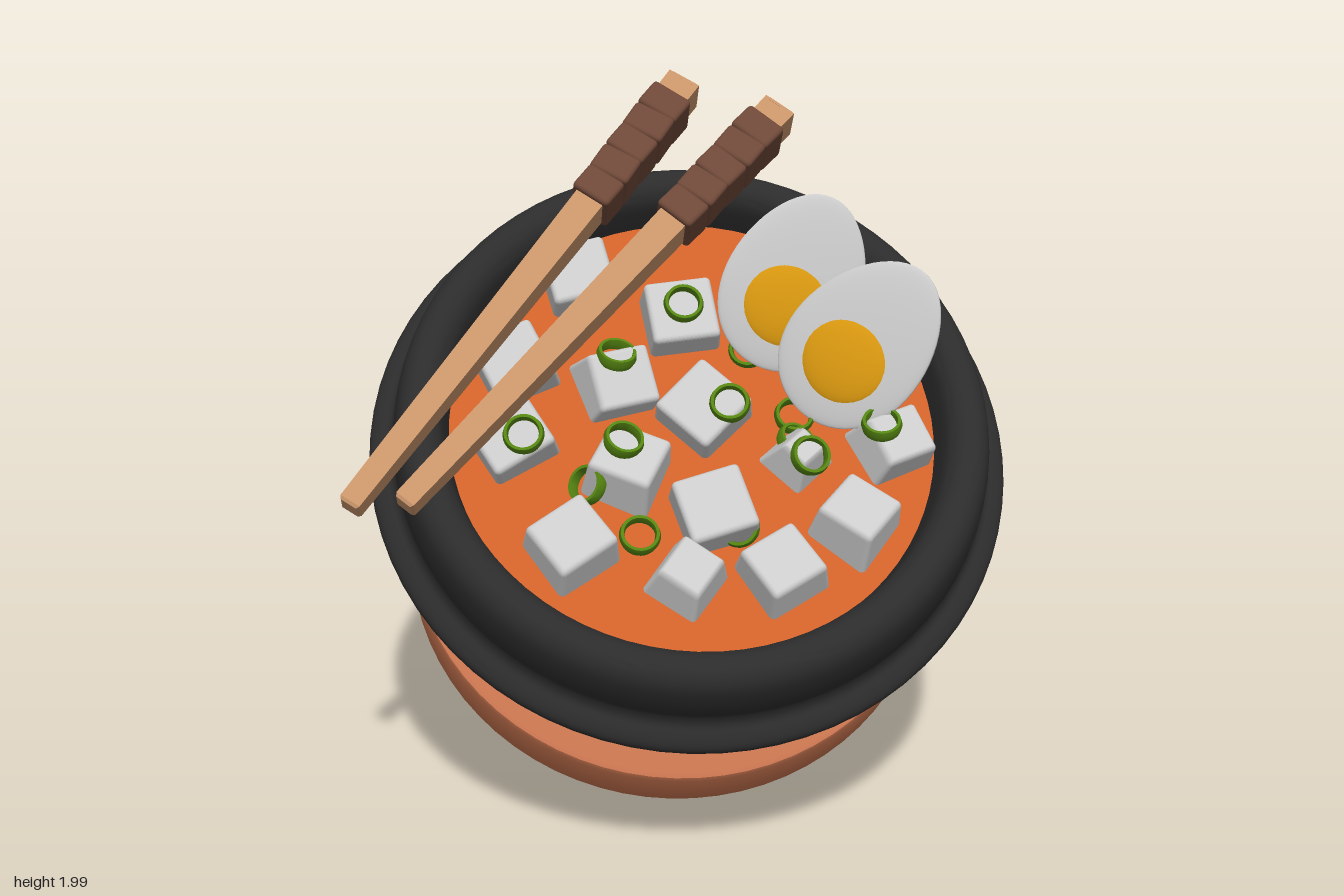
import * as THREE from 'three';
import { RoundedBoxGeometry } from 'three/addons/geometries/RoundedBoxGeometry.js';
import { toCreasedNormals } from 'three/addons/utils/BufferGeometryUtils.js';

const TILT = THREE.MathUtils.degToRad(43);
const UP = new THREE.Vector3(0, Math.cos(TILT), Math.sin(TILT));
const V = (x, y, z) => new THREE.Vector3(x, y, z);
const mat = (color, extra = {}) => new THREE.MeshStandardMaterial({ color, ...extra });

const M = {
  bowl: mat(0x2c2c2c, { side: THREE.DoubleSide }),
  coaster: mat(0xc8744f),
  soup: mat(0xd0602a),
  wood: mat(0xc8946a),
  wrap: mat(0x6e4838),
  tofu: mat(0xcccccc),
  egg: mat(0xe6e6e6),
  yolk: mat(0xdc9a10),
  onion: mat(0x558512),
};

function add(parent, name, geometry, material) {
  const mesh = new THREE.Mesh(geometry, material);
  mesh.name = name;
  parent.add(mesh);
  return mesh;
}

// Turned solid; points are [radius, height] from bottom to top
function turned(points, crease = 0.7, segments = 72) {
  const g = new THREE.LatheGeometry(points.map(([r, y]) => new THREE.Vector2(r, y)), segments);
  return toCreasedNormals(g, crease);
}

// Smooth part of a profile drawn through a few points
function smooth(points, n) {
  return new THREE.SplineCurve(points.map(p => new THREE.Vector2(...p))).getPoints(n).map(p => [p.x, p.y]);
}

// Half egg: its flat face looks along +z, its long axis is y
function makeEgg(name, pos, normal, along, len, wid, depth) {
  const egg = new THREE.Group();
  egg.name = name;
  const g = new THREE.SphereGeometry(1, 40, 28);
  const p = g.attributes.position;
  for (let i = 0; i < p.count; i++) {
    const y = p.getY(i), z = p.getZ(i), taper = 1 - 0.13 * y;
    p.setXYZ(i, p.getX(i) * wid * taper, y * len, z > 0 ? z * 0.022 : z * depth * taper);
  }
  g.computeVertexNormals();
  add(egg, 'eggWhite', g, M.egg);
  const yolk = add(egg, 'yolk', new THREE.SphereGeometry(0.125, 32, 16), M.yolk);
  yolk.scale.z = 0.2;
  yolk.position.set(0, -0.06, 0.007);
  const z = normal.normalize();
  const x = along.clone().cross(z).normalize();
  egg.quaternion.setFromRotationMatrix(new THREE.Matrix4().makeBasis(x, z.clone().cross(x), z));
  egg.position.copy(pos);
  return egg;
}

// Square tapered stick with a wrapped grip
function makeChopstick(name, tip, end) {
  const stick = new THREE.Group();
  stick.name = name;
  const dir = end.clone().sub(tip), L = dir.length();
  const square = (top, bottom, h, y) => new THREE.CylinderGeometry(top / Math.SQRT2, bottom / Math.SQRT2, h, 4)
    .rotateY(Math.PI / 4).toNonIndexed().translate(0, y + h / 2, 0);
  const flat = (n, g) => { g.computeVertexNormals(); add(stick, n, g, M.wood); };
  flat('shaft', square(0.098, 0.058, L - 0.015, 0.008));
  flat('tipBevel', square(0.058, 0.046, 0.008, 0));
  flat('endBevel', square(0.08, 0.098, 0.015, L - 0.015));
  const start = L * 0.69, step = (L * 0.955 - start) / 5;
  for (let i = 0; i < 5; i++) {
    const w = 0.117 + i * 0.002;
    const band = add(stick, 'gripBand', new RoundedBoxGeometry(w, step * 1.06, w, 2, 0.012), M.wrap);
    band.position.y = start + step * (i + 0.5);
    band.rotation.set(0, 0, i % 2 ? 0.05 : -0.04);
  }
  dir.normalize();
  const x = dir.clone().cross(UP).normalize();
  stick.quaternion.setFromRotationMatrix(new THREE.Matrix4().makeBasis(x, dir, x.clone().cross(dir)));
  stick.position.copy(tip);
  return stick;
}

// Rounded block narrowed towards its top; lean shifts the top edge to cut a wedge
function tofuGeometry(w, h, d, taper, lean) {
  const g = new RoundedBoxGeometry(w, h, d, 3, 0.016);
  const p = g.attributes.position;
  for (let i = 0; i < p.count; i++) {
    const t = p.getY(i) / h + 0.5, k = 1 - taper * t;
    p.setXYZ(i, p.getX(i) * k + lean * t, p.getY(i), p.getZ(i) * k);
  }
  g.computeVertexNormals();
  return g;
}

export function createModel() {
  const root = new THREE.Group();
  root.name = 'hotPotBowl';

  // Everything in this group leans towards the front
  const set = new THREE.Group();
  set.name = 'tiltedSet';
  set.position.set(0.03, 0.541, -0.303);
  set.rotation.x = TILT;
  root.add(set);

  add(set, 'coaster', turned([[0, 0], [0.77, 0], [0.783, 0.006], [0.788, 0.02],
    [0.788, 0.182], [0.783, 0.196], [0.77, 0.202], [0, 0.202]]), M.coaster);

  // Bowl: belly, flange, lip and inner wall
  add(set, 'bowl', turned([
    [0, 0.2],
    ...smooth([[0.36, 0.2], [0.47, 0.222], [0.575, 0.272], [0.655, 0.34], [0.715, 0.43], [0.755, 0.53], [0.783, 0.655]], 24),
    ...smooth([[0.8, 0.658], [0.845, 0.656], [0.868, 0.675], [0.868, 0.7], [0.848, 0.72], [0.815, 0.735]], 14),
    ...smooth([[0.803, 0.76], [0.798, 0.83], [0.78, 0.895], [0.745, 0.926], [0.705, 0.922], [0.675, 0.89], [0.66, 0.83], [0.65, 0.77]], 28),
    [0.6, 0.7], [0, 0.7],
  ], 0.9), M.bowl);

  const soup = add(set, 'soup', new THREE.CircleGeometry(0.66, 72), M.soup);
  soup.rotation.x = -Math.PI / 2;
  soup.position.y = 0.8;

  // Tofu: x, z, turn, tilt x, tilt z, taper, lean
  const tofu = [
    [-0.49, 0.02, 0.5, 0.1, 0.1, 0.12, 0], [-0.22, -0.13, 0.2, 0.25, -0.1, 0.2, 0.03],
    [-0.01, -0.33, 0.1, 0.1, 0, 0.1, 0], [0.03, -0.04, 0.75, 0, 0.12, 0.08, 0],
    [-0.19, 0.13, 1.1, -0.1, -0.15, 0.15, 0], [0.03, 0.26, 0.25, 0.05, 0.05, 0.1, 0],
    [-0.36, 0.35, 0.55, -0.1, 0.1, 0.15, 0.02], [0.27, 0.11, 0.7, 0.1, -0.1, 0.62, 0],
    [0.51, 0.09, 0.35, 0.1, -0.1, 0.3, 0.03], [0.4, 0.31, 0.85, -0.15, -0.1, 0.2, 0],
    [0.19, 0.44, 0.5, -0.1, 0.05, 0.2, 0], [-0.07, 0.46, 0.9, 0.05, 0, 0.4, 0.03],
    [-0.47, -0.2, 0.4, 0.1, 0.1, 0.15, 0], [-0.28, -0.47, 0.2, 0.1, 0.05, 0.15, 0],
  ];
  for (const [x, z, turn, rx, rz, taper, lean] of tofu) {
    const t = add(set, 'tofu', tofuGeometry(0.205, 0.18, 0.2, taper, lean), M.tofu);
    t.position.set(x, 0.805, z);
    t.rotation.set(rx, turn, rz);
  }

  // Spring onion rings: x, height, z, tilt x, tilt z
  const ringGeo = turned([[0.043, -0.016], [0.051, -0.016], [0.055, 0], [0.051, 0.016],
    [0.043, 0.016], [0.04, 0], [0.043, -0.016]], 0.9, 28);
  const rings = [
    [-0.46, 0.9, 0.05, 0.1, 0.1], [-0.2, 0.9, -0.18, -0.35, -0.15], [-0.2, 0.905, 0.08, -0.15, -0.2],
    [-0.3, 0.85, 0.18, 0.1, 0.7], [-0.17, 0.815, 0.315, 0, 0], [0.09, 0.9, -0.02, 0.1, 0.1],
    [-0.007, 0.905, -0.33, 0.1, 0], [0.17, 0.82, -0.23, 0.2, 0.2], [0.275, 0.815, -0.02, 0, 0],
    [0.29, 0.89, 0.14, 0.2, -0.2], [0.09, 0.83, 0.31, 0.3, 0.3], [0.49, 0.9, 0.06, -0.3, 0.1],
    [0.27, 0.82, 0.06, -0.2, -0.4],
  ];
  for (const [x, y, z, rx, rz] of rings) {
    const r = add(set, 'onionRing', ringGeo, M.onion);
    r.position.set(x, y, z);
    r.rotation.set(rx, 0, rz);
  }

  // Egg halves and chopsticks
  root.add(
    makeEgg('backEgg', V(0.325, 1.485, 0.1), V(-0.08, 0.2, 0.97), V(0.4, 0.9, 0), 0.25, 0.19, 0.18),
    makeEgg('frontEgg', V(0.48, 1.355, 0.255), V(-0.37, 0.25, 0.9), V(0.65, 0.72, 0), 0.25, 0.19, 0.18),
    makeChopstick('leftChopstick', V(-0.74, 1.063, 0.56), V(0.335, 1.885, -0.255)),
    makeChopstick('rightChopstick', V(-0.875, 1.063, 0.56), V(0.075, 1.95, -0.345)),
  );
  return root;
}
